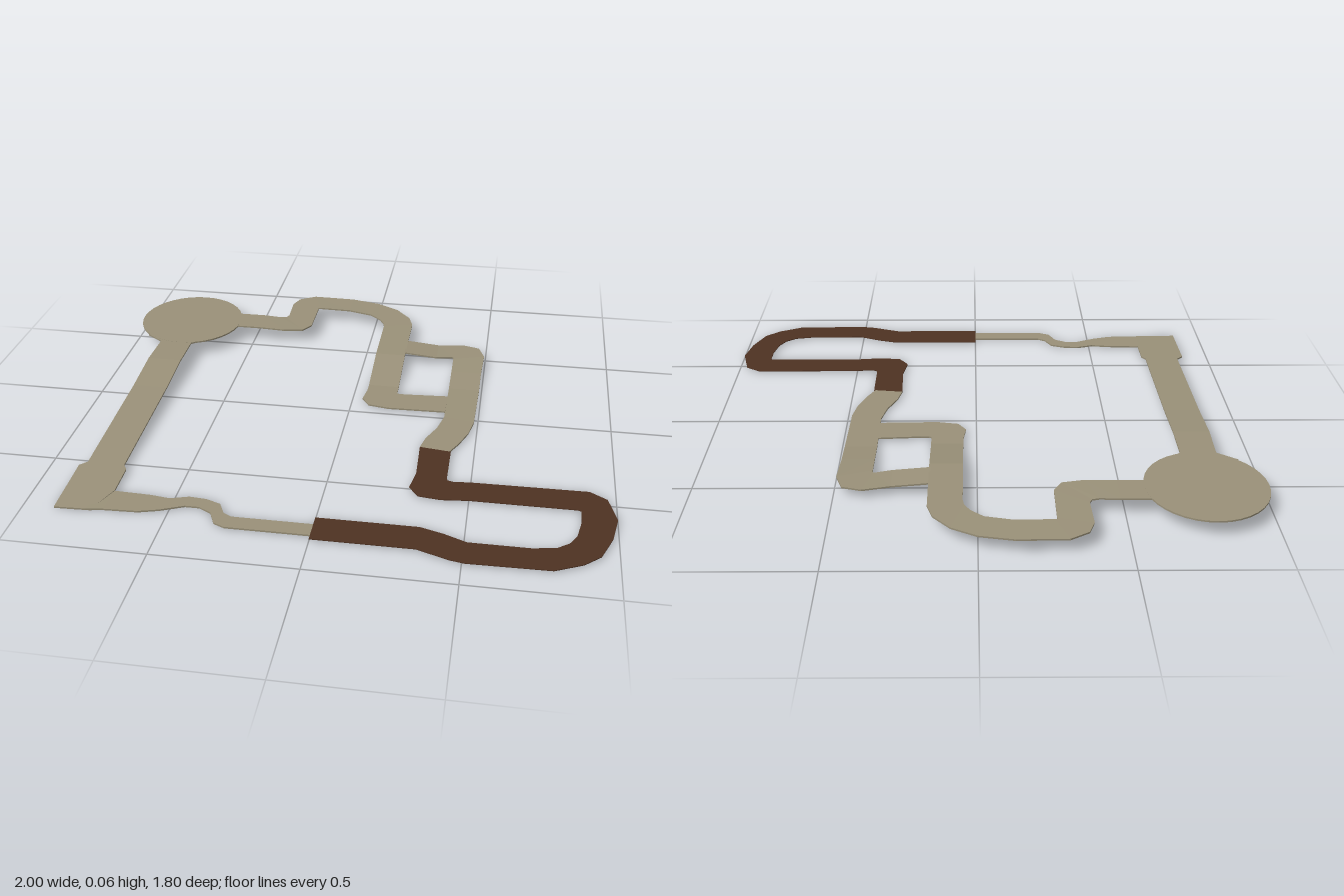
import * as THREE from 'three';

const tan = new THREE.MeshStandardMaterial({ color: 0x9a9179, flatShading: true });
tan.name = 'sand road';
const brown = new THREE.MeshStandardMaterial({ color: 0x4e3222, flatShading: true });
brown.name = 'dark earth road';

// Closed thin slab swept through stations [leftX, leftZ, rightX, rightZ, topY]
function road(name, stations, material, thickness = 0.006) {
  const sections = stations.map(([lx, lz, rx, rz, y]) => [
    [lx, y, lz], [rx, y, rz], [rx, y - thickness, rz], [lx, y - thickness, lz],
  ]);
  const pos = [];
  const quad = (a, b, c, d) => pos.push(...a, ...b, ...c, ...a, ...c, ...d);
  for (let i = 0; i < sections.length - 1; i++) {
    const s = sections[i], t = sections[i + 1];
    for (let k = 0; k < 4; k++) {
      const n = (k + 1) % 4;
      quad(s[k], s[n], t[n], t[k]);
    }
  }
  const first = sections[0], last = sections[sections.length - 1];
  quad(first[3], first[2], first[1], first[0]);
  quad(last[0], last[1], last[2], last[3]);
  const geometry = new THREE.BufferGeometry();
  geometry.setAttribute('position', new THREE.Float32BufferAttribute(pos, 3));
  geometry.computeVertexNormals();
  const mesh = new THREE.Mesh(geometry, material);
  mesh.name = name;
  return mesh;
}

export function createModel() {
  const group = new THREE.Group();
  group.name = 'trackCircuit';

  // Round plaza at the highest corner
  const plaza = new THREE.Mesh(new THREE.CylinderGeometry(1, 1, 0.006, 36), tan);
  plaza.name = 'roundPlaza';
  plaza.scale.set(0.215, 1, 0.227);
  plaza.position.set(-0.785, 0.057, -0.585);
  group.add(plaza);

  // Long ramp down from the plaza, ending in a wider pad
  group.add(road('longRamp', [
    [-0.66, -0.41, -0.93, -0.41, 0.0595],
    [-0.73, -0.36, -0.86, -0.36, 0.0595],
    [-0.73, -0.2, -0.865, -0.2, 0.0595],
    [-0.73, 0, -0.865, 0, 0.042],
    [-0.73, 0.53, -0.865, 0.53, 0.018],
    [-0.715, 0.555, -0.89, 0.555, 0.017],
    [-0.715, 0.68, -0.89, 0.68, 0.011],
    [-0.76, 0.795, -0.89, 0.8, 0.006],
  ], tan));

  // Winding road from the plaza round the back and down to the lower crossing
  group.add(road('backRoad', [
    [-0.62, -0.67, -0.62, -0.55, 0.0595],
    [-0.56, -0.67, -0.56, -0.55, 0.0595],
    [-0.48, -0.67, -0.48, -0.55, 0.0595],
    [-0.41, -0.665, -0.37, -0.545, 0.058],
    [-0.385, -0.67, -0.29, -0.56, 0.057],
    [-0.375, -0.69, -0.26, -0.61, 0.057],
    [-0.38, -0.81, -0.26, -0.78, 0.056],
    [-0.36, -0.865, -0.26, -0.79, 0.056],
    [-0.295, -0.905, -0.25, -0.79, 0.056],
    [-0.12, -0.905, -0.12, -0.79, 0.054],
    [0, -0.88, -0.02, -0.765, 0.052],
    [0.09, -0.83, 0.025, -0.725, 0.051],
    [0.15, -0.76, 0.045, -0.69, 0.05],
    [0.17, -0.695, 0.05, -0.66, 0.05],
    [0.17, -0.41, 0.05, -0.41, 0.046],
    [0.17, -0.2, 0.05, -0.2, 0.011],
    [0.17, -0.16, 0.05, -0.16, 0.011],
    [0.17, -0.15, 0.04, -0.09, 0.011],
    [0.18, -0.145, 0.07, -0.045, 0.011],
    [0.21, -0.145, 0.15, -0.03, 0.011],
    [0.37, -0.155, 0.37, -0.035, 0.011],
  ], tan));

  // Side branch that drops past the crossing and runs forward
  group.add(road('sideBranch', [
    [0.165, -0.545, 0.165, -0.435, 0.047],
    [0.3, -0.545, 0.3, -0.435, 0.035],
    [0.4, -0.565, 0.365, -0.45, 0.033],
    [0.47, -0.545, 0.37, -0.445, 0.033],
    [0.495, -0.475, 0.37, -0.435, 0.033],
    [0.49, -0.34, 0.37, -0.34, 0.024],
    [0.49, -0.22, 0.37, -0.22, 0.011],
    [0.485, 0.03, 0.37, 0.005, 0.01],
    [0.47, 0.11, 0.35, 0.09, 0.01],
    [0.44, 0.19, 0.315, 0.17, 0.01],
    [0.41, 0.25, 0.3, 0.235, 0.01],
  ], tan));

  // Dark hairpin section
  group.add(road('darkHairpin', [
    [0.415, 0.25, 0.3, 0.235, 0.01],
    [0.415, 0.36, 0.305, 0.41, 0.009],
    [0.415, 0.43, 0.29, 0.5, 0.009],
    [0.42, 0.44, 0.325, 0.55, 0.009],
    [0.44, 0.445, 0.405, 0.56, 0.009],
    [0.5, 0.44, 0.5, 0.55, 0.009],
    [0.91, 0.435, 0.87, 0.55, 0.009],
    [0.97, 0.475, 0.88, 0.555, 0.009],
    [1, 0.59, 0.88, 0.62, 0.009],
    [0.98, 0.7, 0.865, 0.7, 0.009],
    [0.94, 0.8, 0.84, 0.745, 0.009],
    [0.885, 0.85, 0.8, 0.775, 0.009],
    [0.79, 0.895, 0.72, 0.79, 0.009],
    [0.51, 0.9, 0.51, 0.79, 0.009],
    [0.46, 0.89, 0.43, 0.755, 0.009],
    [0.35, 0.85, 0.35, 0.73, 0.009],
    [0, 0.85, 0, 0.73, 0.009],
  ], brown, 0.003));

  // Narrow footpath closing the circuit
  group.add(road('narrowPath', [
    [0, 0.828, 0, 0.767, 0.008],
    [-0.29, 0.828, -0.28, 0.767, 0.008],
    [-0.33, 0.81, -0.31, 0.75, 0.008],
    [-0.355, 0.755, -0.335, 0.7, 0.008],
    [-0.4, 0.73, -0.39, 0.68, 0.008],
    [-0.45, 0.73, -0.45, 0.675, 0.008],
    [-0.53, 0.765, -0.515, 0.695, 0.008],
    [-0.6, 0.785, -0.585, 0.685, 0.008],
    [-0.72, 0.79, -0.72, 0.68, 0.008],
    [-0.78, 0.797, -0.76, 0.69, 0.007],
  ], tan));

  return group;
}
